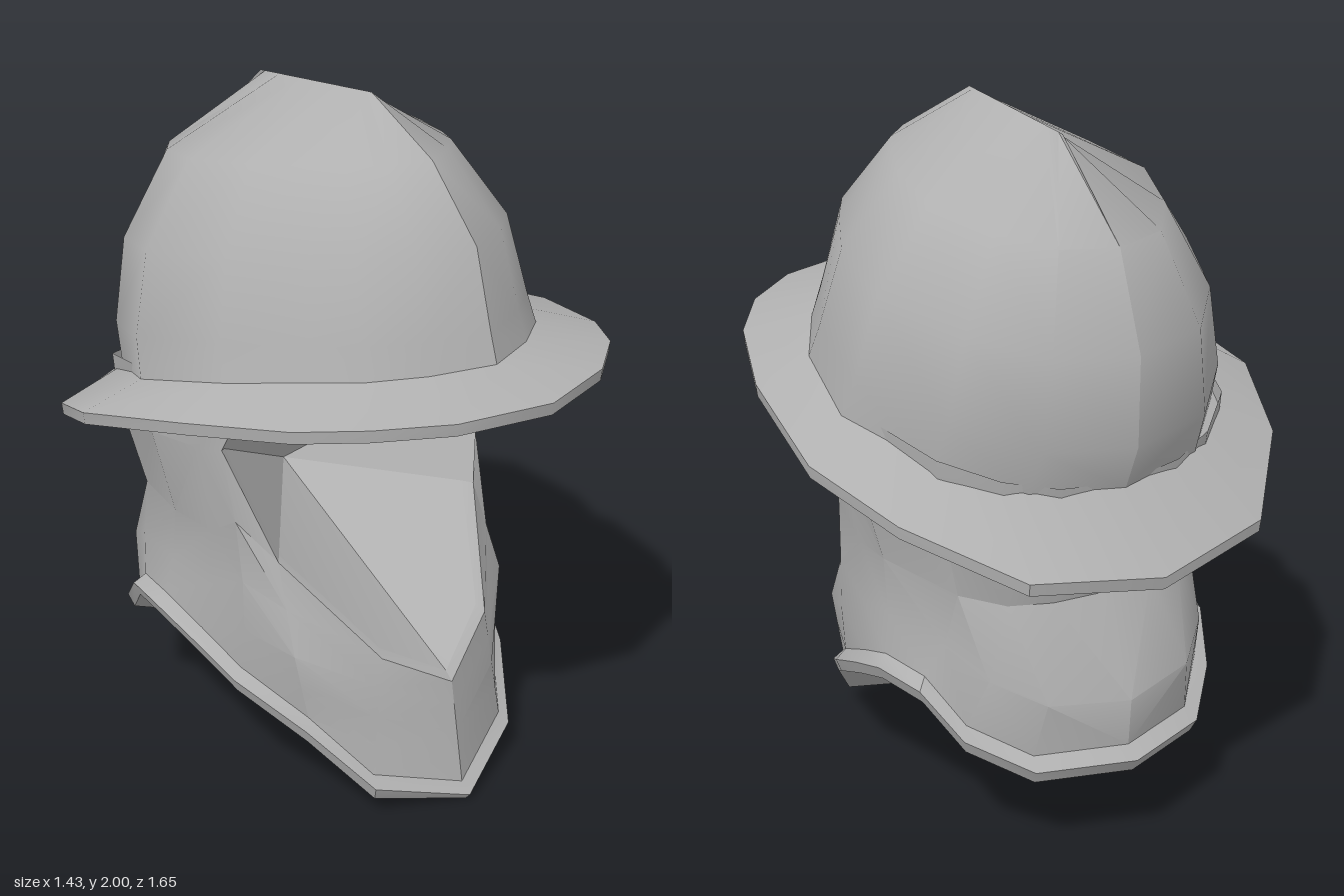
import * as THREE from 'three';
import { mergeGeometries, toCreasedNormals } from 'three/addons/utils/BufferGeometryUtils.js';

// Surface through rows of [x, y, z] (bottom to top), each running front to back on the +x side.
function halfSurface(rows, side) {
  const pos = [];
  const put = (...pts) => (side > 0 ? pts : pts.reverse()).forEach(p => pos.push(p[0] * side, p[1], p[2]));
  const same = (p, q) => Math.hypot(p[0] - q[0], p[1] - q[1], p[2] - q[2]) < 1e-5;
  for (let r = 0; r < rows.length - 1; r++) {
    for (let c = 0; c < rows[r].length - 1; c++) {
      const a = rows[r][c], b = rows[r][c + 1], d = rows[r + 1][c], e = rows[r + 1][c + 1];
      if (!same(a, b)) put(a, b, d);
      if (!same(d, e)) put(b, e, d);
    }
  }
  const g = new THREE.BufferGeometry();
  g.setAttribute('position', new THREE.Float32BufferAttribute(pos, 3));
  return g;
}

// Both mirrored halves; a keel keeps the centre line sharp.
function mirrored(rows, crease, keel = false) {
  const halves = [1, -1].map(s => halfSurface(rows, s));
  if (keel) return mergeGeometries(halves.map(h => toCreasedNormals(h, crease)));
  return toCreasedNormals(mergeGeometries(halves), crease);
}

// Spread a short column of points evenly over n points.
function resample(col, n) {
  return Array.from({ length: n }, (_, i) => {
    const f = i / (n - 1) * (col.length - 1), k = Math.min(Math.floor(f), col.length - 2);
    return col[k].map((v, j) => v + (col[k + 1][j] - v) * (f - k));
  });
}

const shift = (row, s, dy) => row.map(([x, y, z]) => [x * s, y + dy, z * s]);

export function createModel() {
  const group = new THREE.Group();
  const grey = new THREE.MeshStandardMaterial({ color: 0xb0b0b0, side: THREE.DoubleSide });
  grey.name = 'plain grey';
  const add = (name, geometry) => {
    const mesh = new THREE.Mesh(geometry, grey);
    mesh.name = name;
    group.add(mesh);
  };

  // Crown: egg-shaped rings scaled from one outline, closing on a keel line
  const outline = [[0, 1], [0.31, 0.947], [0.55, 0.87], [0.69, 0.78], [0.9, 0.614],
    [1, 0.386], [0.78, 0.18], [0.465, 0.045], [0, 0]];
  const ring = (width, zf, yf, zb, yb, bow) => outline.map(([u, t]) =>
    [u * width, yb + (yf - yb) * t + bow * 4 * t * (1 - t), zb + (zf - zb) * t]);
  const base = ring(0.575, 0.62, 1.38, -0.645, 1.09, 0.05);
  add('crown', mirrored([
    base,
    ring(0.555, 0.595, 1.46, -0.695, 1.22, 0.045),
    ring(0.495, 0.535, 1.68, -0.695, 1.47, 0.03),
    ring(0.34, 0.365, 1.87, -0.595, 1.73, 0.02),
    ring(0, 0.13, 2.0, -0.33, 1.965, 0),
  ], 1.1, true));

  // Brim: sloping plate around the crown
  const brimEdge = [[0, 1.34, 0.825], [0.265, 1.335, 0.75], [0.44, 1.325, 0.62], [0.56, 1.30, 0.455],
    [0.67, 1.255, 0.155], [0.715, 1.165, -0.235], [0.605, 1.07, -0.505], [0.37, 0.95, -0.755], [0, 0.905, -0.83]];
  add('brim', mirrored([
    shift(base, 0.97, -0.045), shift(brimEdge, 0.995, -0.035), brimEdge, base,
  ], 0.6));

  // Coif: columns from the hem up to the face opening or up under the brim
  const hem = [[0, 0.02, 0.57], [0.265, 0.1, 0.46], [0.385, 0.265, 0.3], [0.48, 0.38, 0.1], [0.5, 0.45, -0.06],
    [0.515, 0.51, -0.22], [0.475, 0.495, -0.375], [0.41, 0.38, -0.5], [0.27, 0.31, -0.64], [0, 0.31, -0.73]];
  const uppers = [
    [[0, 0.36, 0.485]],
    [[0.2, 0.48, 0.41]],
    [[0.4, 0.5, 0.27], [0.375, 0.75, 0.175]],
    [[0.45, 0.58, 0.12], [0.45, 0.8, 0.1], [0.485, 1.09, 0.075]],
    [[0.46, 0.63, -0.03], [0.455, 0.8, -0.02], [0.51, 1.08, 0], [0.44, 1.29, 0.16]],
    [[0.465, 0.65, -0.19], [0.465, 0.81, -0.17], [0.54, 1.08, -0.165], [0.555, 1.27, -0.165]],
    [[0.41, 0.63, -0.4], [0.38, 0.78, -0.42], [0.45, 1.06, -0.445], [0.46, 1.2, -0.45]],
    [[0.35, 0.56, -0.53], [0.28, 0.76, -0.51], [0.31, 1.02, -0.56], [0.33, 1.15, -0.56]],
    [[0.23, 0.5, -0.635], [0.16, 0.755, -0.55], [0.17, 1.0, -0.61], [0.19, 1.12, -0.62]],
    [[0, 0.48, -0.695], [0, 0.75, -0.56], [0, 1.0, -0.62], [0, 1.1, -0.635]],
  ];
  const inset = shift(hem, 0.94, 0.03);
  const columns = uppers.map((col, i) => resample([inset[i], ...col], 5));
  const coifRows = Array.from({ length: 5 }, (_, r) => columns.map(c => c[r]));
  add('coif', mirrored(coifRows, 0.5));

  // Hem band and the underside closing the neck
  const hemLower = shift(hem, 0.97, -0.04).map(([x, y, z]) => [x, Math.max(y, 0), z]);
  add('hem', mirrored([hemLower, hem, inset], 0.6));
  add('underside', mirrored([hem.map(() => [0, 0.295, -0.12]), hemLower], 0.7));

  // Face opening: narrow lip, then a hollow drawn back to one point
  const opening = [...coifRows[4].slice(0, 5), [0, 1.36, 0.12]];
  const lip = opening.map(([x, y, z]) => [x * 0.94, y + (0.85 - y) * 0.05, z - 0.025]);
  add('faceLip', mirrored([opening, lip], 0.3));
  add('faceHollow', mirrored([lip, lip.map(() => [0, 0.8, -0.25])], 0.3));

  return group;
}
